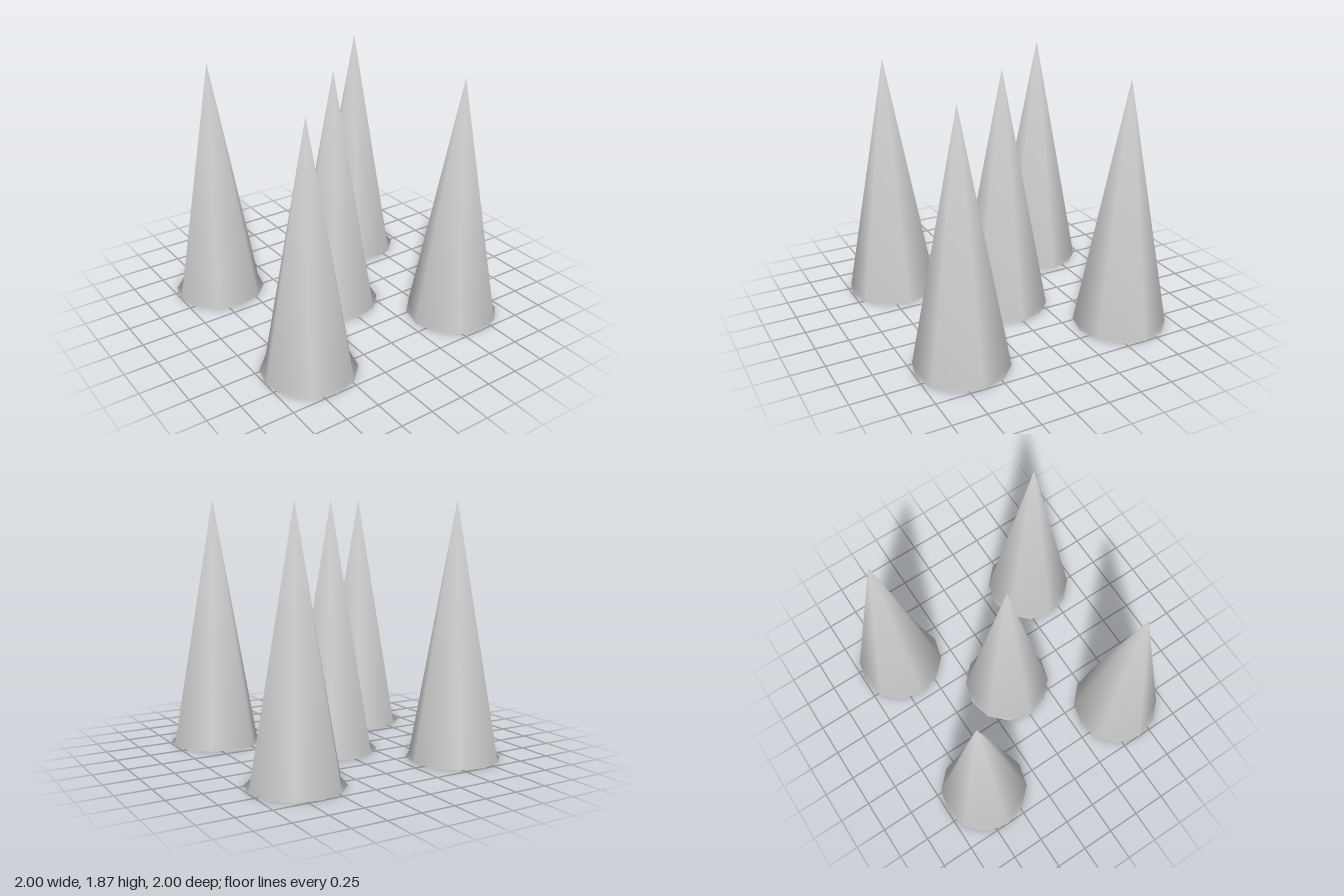
import * as THREE from 'three';

const RADIUS = 0.346, HEIGHT = 1.87, SPACING = 0.654, SIDES = 12;

// Open spike: six tall faces, with flat lobes filling the rim out to twelve corners
function spikeGeometry() {
  const positions = [0, HEIGHT, 0], normals = [0, 1, 0], index = [];
  const slant = Math.hypot(HEIGHT, RADIUS);
  for (let i = 0; i < SIDES; i++) {
    const a = (i / SIDES) * Math.PI * 2, c = Math.cos(a), s = Math.sin(a);
    positions.push(RADIUS * c, 0, RADIUS * s);
    normals.push((c * HEIGHT) / slant, RADIUS / slant, (s * HEIGHT) / slant);
  }
  for (let i = 0; i < SIDES; i += 2) {
    const a = i + 1, b = i + 2, c = ((i + 2) % SIDES) + 1;
    index.push(0, c, a); // tall face
    index.push(c, b, a); // rim lobe
  }
  const geometry = new THREE.BufferGeometry();
  geometry.setAttribute('position', new THREE.Float32BufferAttribute(positions, 3));
  geometry.setAttribute('normal', new THREE.Float32BufferAttribute(normals, 3));
  geometry.setIndex(index);
  return geometry;
}

export function createModel() {
  const group = new THREE.Group();
  group.name = 'spikes';
  const geometry = spikeGeometry();
  const material = new THREE.MeshStandardMaterial({ color: 0xcccccc, side: THREE.DoubleSide });

  // One spike in the middle and one at each corner
  const places = [
    ['centreSpike', 0, 0],
    ['frontLeftSpike', 1, 1],
    ['frontRightSpike', -1, 1],
    ['backLeftSpike', 1, -1],
    ['backRightSpike', -1, -1],
  ];
  for (const [name, x, z] of places) {
    const spike = new THREE.Mesh(geometry, material);
    spike.name = name;
    spike.position.set(x * SPACING, 0, z * SPACING);
    group.add(spike);
  }
  return group;
}
